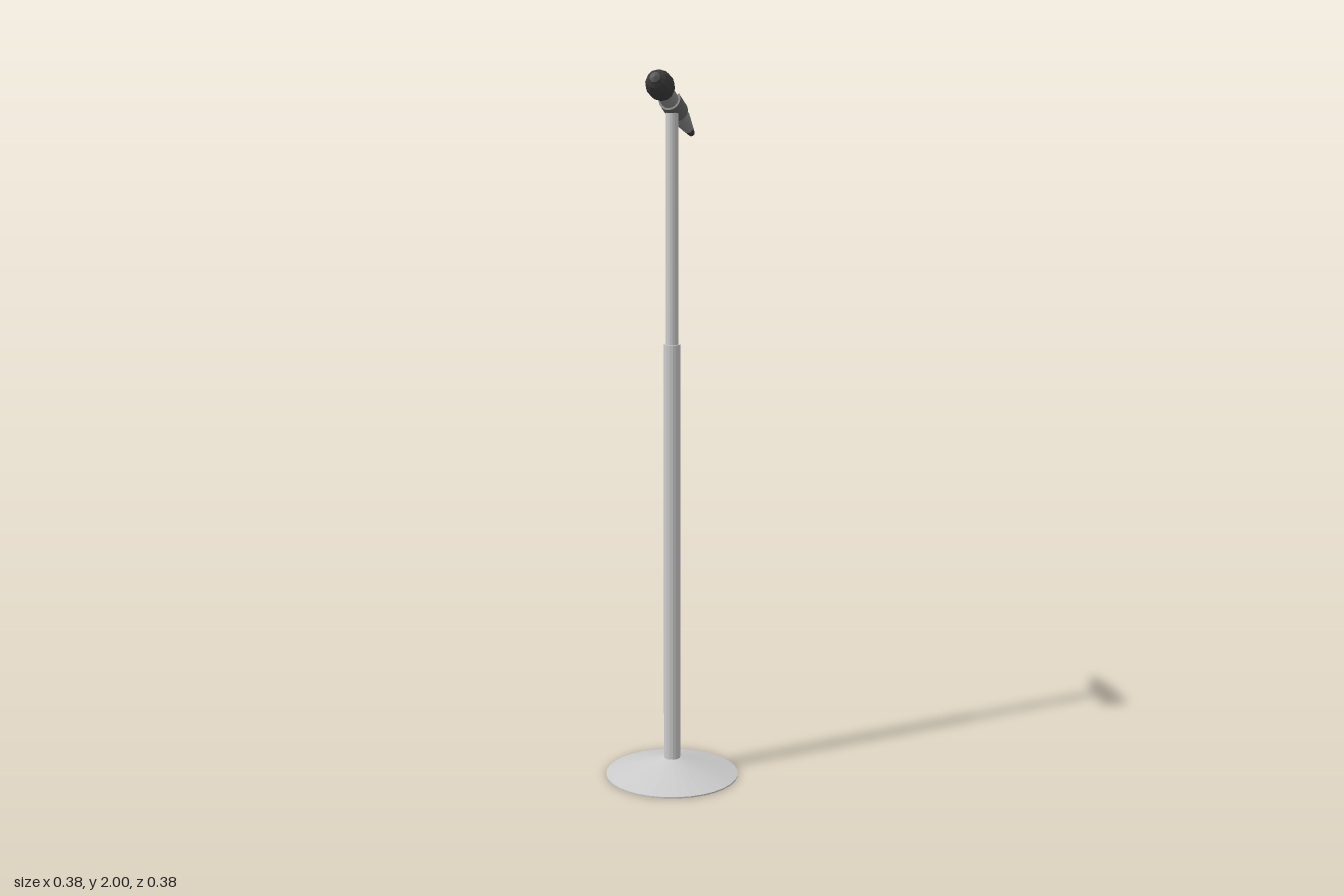
import * as THREE from 'three';

const mat = (color) => new THREE.MeshStandardMaterial({ color, flatShading: true });

function add(parent, name, geometry, material) {
  const mesh = new THREE.Mesh(geometry, material);
  mesh.name = name;
  parent.add(mesh);
  return mesh;
}

// Closed turned part; profile is [radius, height] from bottom to top
const lathe = (profile, sides) =>
  new THREE.LatheGeometry(profile.map(([r, h]) => new THREE.Vector2(r, h)), sides);

export function createModel() {
  const model = new THREE.Group();
  model.name = 'microphoneStand';
  const grey = mat(0xcccccc), bodyGrey = mat(0x8c8c8c), clipGrey = mat(0x666666), dark = mat(0x3c3c3c);

  // Shallow conical foot
  add(model, 'base', lathe([[0, 0], [0.191, 0], [0.191, 0.004], [0.02, 0.052], [0, 0.052]], 32), grey);

  // Telescopic pole
  add(model, 'lowerPole', lathe([[0, 0.04], [0.024, 0.04], [0.024, 1.255], [0, 1.255]], 16), grey);
  add(model, 'upperPole', lathe([[0, 1.25], [0.018, 1.25], [0.018, 1.89], [0, 1.89]], 16), grey);

  // Microphone, built along local z and tilted head up
  const mic = new THREE.Group();
  mic.name = 'microphone';
  mic.position.set(0, 1.912, 0);
  mic.rotation.x = -THREE.MathUtils.degToRad(24.5);
  model.add(mic);

  const handle = lathe([[0, -0.165], [0.0145, -0.165], [0.025, -0.088], [0.025, 0.085], [0, 0.085]], 16);
  add(mic, 'handle', handle.rotateX(Math.PI / 2), bodyGrey);

  const tail = lathe([[0, -0.204], [0.007, -0.204], [0.009, -0.2], [0.0145, -0.164], [0, -0.164]], 16);
  add(mic, 'tail', tail.rotateX(Math.PI / 2), dark);

  const head = new THREE.SphereGeometry(0.0385, 12, 8).scale(1, 1.4, 1).rotateX(Math.PI / 2);
  add(mic, 'head', head, dark).position.z = 0.115;

  // Clip: a sleeve open at the top
  const rise = THREE.MathUtils.degToRad(36);
  const arc = new THREE.Shape();
  arc.absarc(0, 0, 0.0305, Math.PI - rise, Math.PI * 2 + rise, false);
  arc.absarc(0, 0, 0.0245, rise, -Math.PI - rise, true);
  arc.closePath();
  const clip = new THREE.ExtrudeGeometry(arc, { depth: 0.076, bevelEnabled: false, curveSegments: 12 });
  add(mic, 'clip', clip, clipGrey).position.z = -0.051;

  return model;
}
